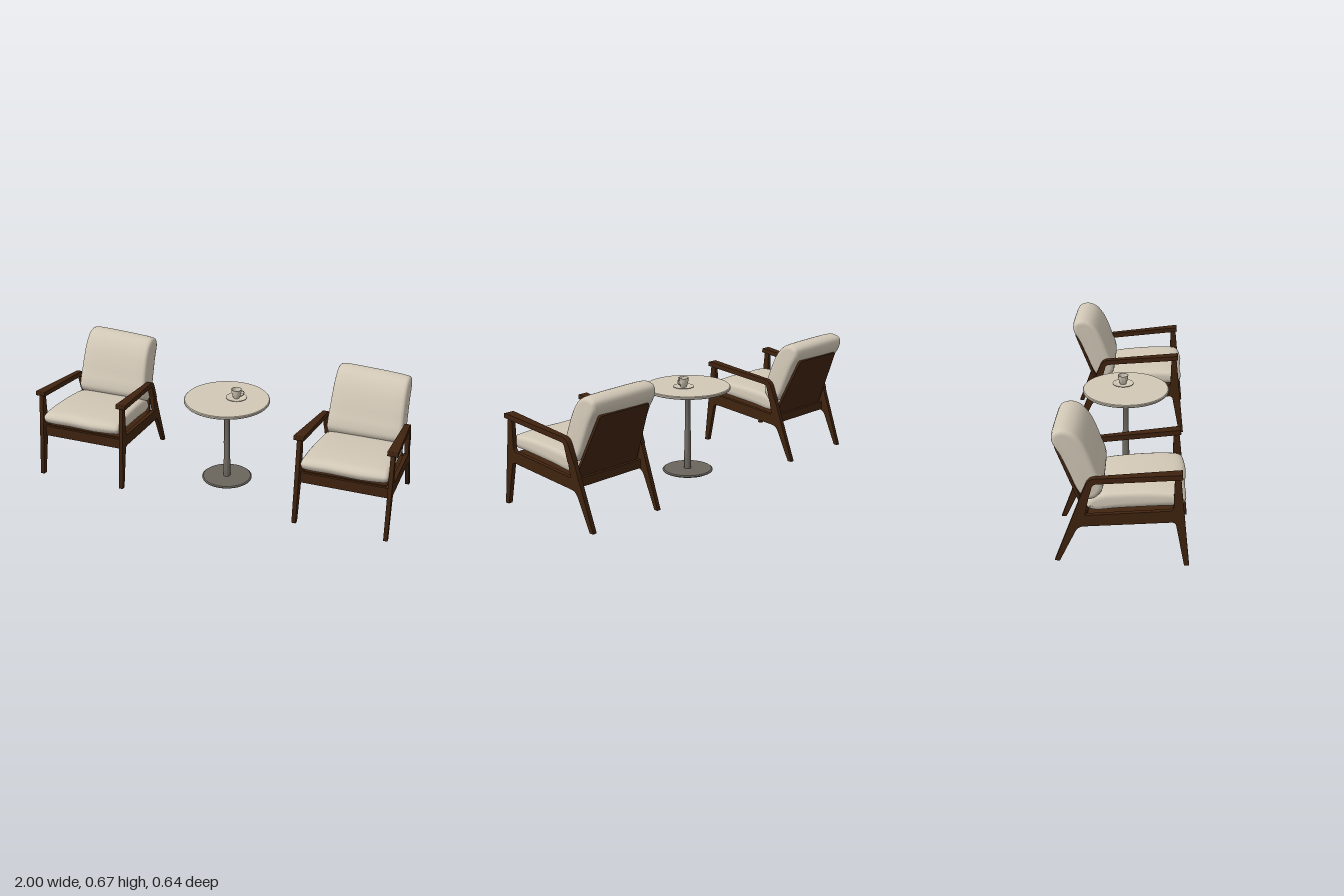
import * as THREE from 'three';
import { toCreasedNormals } from 'three/addons/utils/BufferGeometryUtils.js';

const mat = (name, color) => {
  const m = new THREE.MeshStandardMaterial({ color });
  m.name = name;
  return m;
};

function add(parent, name, geometry, material) {
  const mesh = new THREE.Mesh(geometry, material);
  mesh.name = name;
  parent.add(mesh);
  return mesh;
}

// Closed outline from [x, y, cornerRadius] points
function roundedShape(points) {
  const shape = new THREE.Shape();
  points.forEach(([x, y, r = 0.002], i) => {
    const p = new THREE.Vector2(x, y);
    const n = points.length;
    const toward = (q) => new THREE.Vector2(q[0], q[1]).sub(p).setLength(r).add(p);
    const a = toward(points[(i + n - 1) % n]);
    const b = toward(points[(i + 1) % n]);
    if (i === 0) shape.moveTo(a.x, a.y);
    else shape.lineTo(a.x, a.y);
    shape.quadraticCurveTo(p.x, p.y, b.x, b.y);
  });
  shape.closePath();
  return shape;
}

// Side outline in [z, y, radius], given thickness between inner(z) and outer(z)
function sideGeometry(outline, side, inner, outer) {
  const shape = roundedShape(outline.map(([z, y, r]) => [-z, y, r]));
  const geo = new THREE.ExtrudeGeometry(shape, { depth: 1, bevelEnabled: false, curveSegments: 8 });
  geo.rotateY(Math.PI / 2);
  const pos = geo.attributes.position;
  for (let i = 0; i < pos.count; i++) {
    const z = pos.getZ(i);
    const t = side > 0 ? pos.getX(i) : 1 - pos.getX(i);
    pos.setX(i, side * THREE.MathUtils.lerp(inner(z), outer(z), t));
  }
  return toCreasedNormals(geo, 0.5);
}

// Soft cushion: a closed [z, y] profile swept across x, drawn in at both ends
function cushionGeometry(profile, halfWidth, adjust) {
  const curve = new THREE.CatmullRomCurve3(profile.map(([z, y]) => new THREE.Vector3(0, y, z)), true);
  const n = 56;
  const ring = [], out = [];
  const centre = new THREE.Vector3();
  for (let j = 0; j < n; j++) {
    const p = curve.getPoint(j / n), t = curve.getTangent(j / n);
    ring.push(p);
    out.push([t.y, -t.z]);
    centre.addScaledVector(p, 1 / n);
  }
  // [fraction of half width, inset]; inset 1 collapses to the centre
  const half = [[1, 1], [1, 0.028], [0.985, 0.016], [0.955, 0.008], [0.9, 0.004], [0.7, 0.001], [0.35, 0]];
  const stations = [...half.map(([u, d]) => [-u, d]), [0, 0], ...half.map(([u, d]) => [u, d]).reverse()];
  const verts = [], index = [];
  stations.forEach(([u, d], i) => {
    for (let j = 0; j < n; j++) {
      const p = ring[j].clone();
      if (d === 1) p.copy(centre);
      else {
        p.z -= out[j][0] * d;
        p.y -= out[j][1] * d;
      }
      p.x = u * halfWidth(p.z, p.y);
      adjust(p);
      verts.push(p.x, p.y, p.z);
      if (i + 1 < stations.length) {
        const k = (j + 1) % n, a = i * n, b = a + n;
        index.push(a + j, b + j, a + k, b + j, b + k, a + k);
      }
    }
  });
  const geo = new THREE.BufferGeometry();
  geo.setAttribute('position', new THREE.Float32BufferAttribute(verts, 3));
  geo.setIndex(index);
  geo.computeVertexNormals();
  return geo;
}

function lathe(points, segments = 48) {
  const geo = new THREE.LatheGeometry(points.map(([r, y]) => new THREE.Vector2(r, y)), segments);
  return toCreasedNormals(geo, 0.6);
}

function createChair(wood, fabric) {
  const chair = new THREE.Group();

  // Side frames: both legs and the side rail, then the tapering armrest
  const frame = [
    [0.324, 0], [0.278, 0.46], [0.25, 0.46], [0.246, 0.29, 0.022], [-0.166, 0.249, 0.008],
    [-0.138, 0.39], [-0.168, 0.39], [-0.195, 0.32, 0.02], [-0.312, 0], [-0.288, 0],
    [-0.199, 0.188, 0.03], [0.256, 0.23, 0.02], [0.3, 0],
  ];
  const arm = [
    [0.285, 0.484, 0.005], [0.287, 0.459, 0.004], [-0.128, 0.415, 0.018], [-0.152, 0.325],
    [-0.197, 0.32], [-0.148, 0.441, 0.032],
  ];
  for (const side of [1, -1]) {
    const label = side > 0 ? 'left' : 'right';
    add(chair, label + 'SideFrame', sideGeometry(frame, side,
      (z) => 0.215 + z * 0.048, (z) => 0.237 + z * 0.048), wood);
    add(chair, label + 'Armrest', sideGeometry(arm, side,
      (z) => 0.208 + z * 0.016, (z) => 0.245 + z * 0.075), wood);
  }

  // Cross rails and the board under the seat
  const slope = 0.095;
  add(chair, 'frontRail', new THREE.BoxGeometry(0.46, 0.056, 0.02), wood).position.set(0, 0.245, 0.262);
  add(chair, 'rearRail', new THREE.BoxGeometry(0.42, 0.045, 0.02), wood).position.set(0, 0.217, -0.175);
  const board = add(chair, 'seatBoard', new THREE.BoxGeometry(0.428, 0.012, 0.43), wood);
  board.position.set(0, 0.252, 0.045);
  board.rotation.x = -slope;

  // Tapered back board, leaning backwards
  const backShape = roundedShape([[-0.2, 0, 0.004], [0.2, 0, 0.004], [0.157, 0.375, 0.012], [-0.157, 0.375, 0.012]]);
  const back = add(chair, 'backBoard',
    new THREE.ExtrudeGeometry(backShape, { depth: 0.014, bevelEnabled: false }), wood);
  back.position.set(0, 0.22, -0.161);
  back.rotation.x = -0.401;

  // Seat cushion
  const seat = [
    [0.298, 0.315], [0.304, 0.338], [0.285, 0.36], [0.2, 0.37], [0, 0.361], [-0.1, 0.345],
    [-0.152, 0.315], [-0.163, 0.275], [-0.13, 0.256], [0, 0.27], [0.2, 0.29], [0.28, 0.298],
  ];
  add(chair, 'seatCushion', cushionGeometry(seat, (z) => 0.2 + (z + 0.165) * 0.058,
    (p) => { p.z += 0.004 * Math.sin(p.x * 22) * (p.z > 0.2 ? 1 : 0); }), fabric);

  // Back cushion, slightly slumped towards one side
  const rest = [
    [-0.08, 0.365], [-0.085, 0.41], [-0.104, 0.46], [-0.13, 0.53], [-0.165, 0.6], [-0.208, 0.648],
    [-0.26, 0.664], [-0.308, 0.645], [-0.314, 0.6], [-0.277, 0.53], [-0.238, 0.44],
    [-0.198, 0.35], [-0.155, 0.315], [-0.115, 0.322],
  ];
  add(chair, 'backCushion', cushionGeometry(rest, (z, y) => 0.206 - (y - 0.34) * 0.035, (p) => {
    const k = THREE.MathUtils.clamp((p.y - 0.33) / 0.33, 0, 1);
    p.y -= 0.035 * k * p.x;
    p.z += 0.04 * k * p.x;
  }), fabric);
  return chair;
}

function createTable(pale, metal) {
  const table = new THREE.Group();
  table.name = 'table';
  add(table, 'tableBase', lathe([[0, 0.005], [0.128, 0.005], [0.136, 0.009], [0.137, 0.013],
    [0.13, 0.018], [0, 0.019]]), metal);
  add(table, 'tableColumn', lathe([[0.019, 0.017], [0.019, 0.115], [0.0175, 0.118], [0.0175, 0.23],
    [0.0155, 0.235], [0.0155, 0.445], [0.025, 0.469]], 32), metal);
  add(table, 'tableTop', lathe([[0, 0.468], [0.226, 0.468], [0.23, 0.472], [0.23, 0.48],
    [0.226, 0.484], [0, 0.484]], 64), pale);

  // Cup on a saucer
  const cup = new THREE.Group();
  cup.name = 'cupAndSaucer';
  cup.position.set(0.048, 0.484, -0.016);
  add(cup, 'saucer', lathe([[0, 0], [0.03, 0], [0.056, 0.008], [0.056, 0.0105], [0.03, 0.006], [0, 0.005]]), pale);
  add(cup, 'cup', lathe([[0, 0.006], [0.016, 0.006], [0.018, 0.011], [0.022, 0.02], [0.026, 0.038], [0.028, 0.056],
    [0.026, 0.056], [0.023, 0.036], [0.018, 0.015], [0, 0.012]], 32), pale);
  const loop = new THREE.CatmullRomCurve3([[0.025, 0.048], [0.038, 0.05], [0.042, 0.042], [0.036, 0.026], [0.022, 0.019]]
    .map(([x, y]) => new THREE.Vector3(x, y, 0)));
  add(cup, 'cupHandle', new THREE.TubeGeometry(loop, 20, 0.0026, 8), pale);
  table.add(cup);
  return table;
}

export function createModel() {
  const wood = mat('dark wood', 0x40230f);
  const fabric = mat('pale beige', 0xd2c8b7);
  const metal = mat('warm grey', 0x6a645c);

  const model = new THREE.Group();
  model.name = 'armchairsAndTable';
  for (const side of [1, -1]) {
    const chair = createChair(wood, fabric);
    chair.name = side > 0 ? 'leftChair' : 'rightChair';
    chair.position.x = side * 0.7335;
    model.add(chair);
  }
  model.add(createTable(fabric, metal));
  return model;
}
